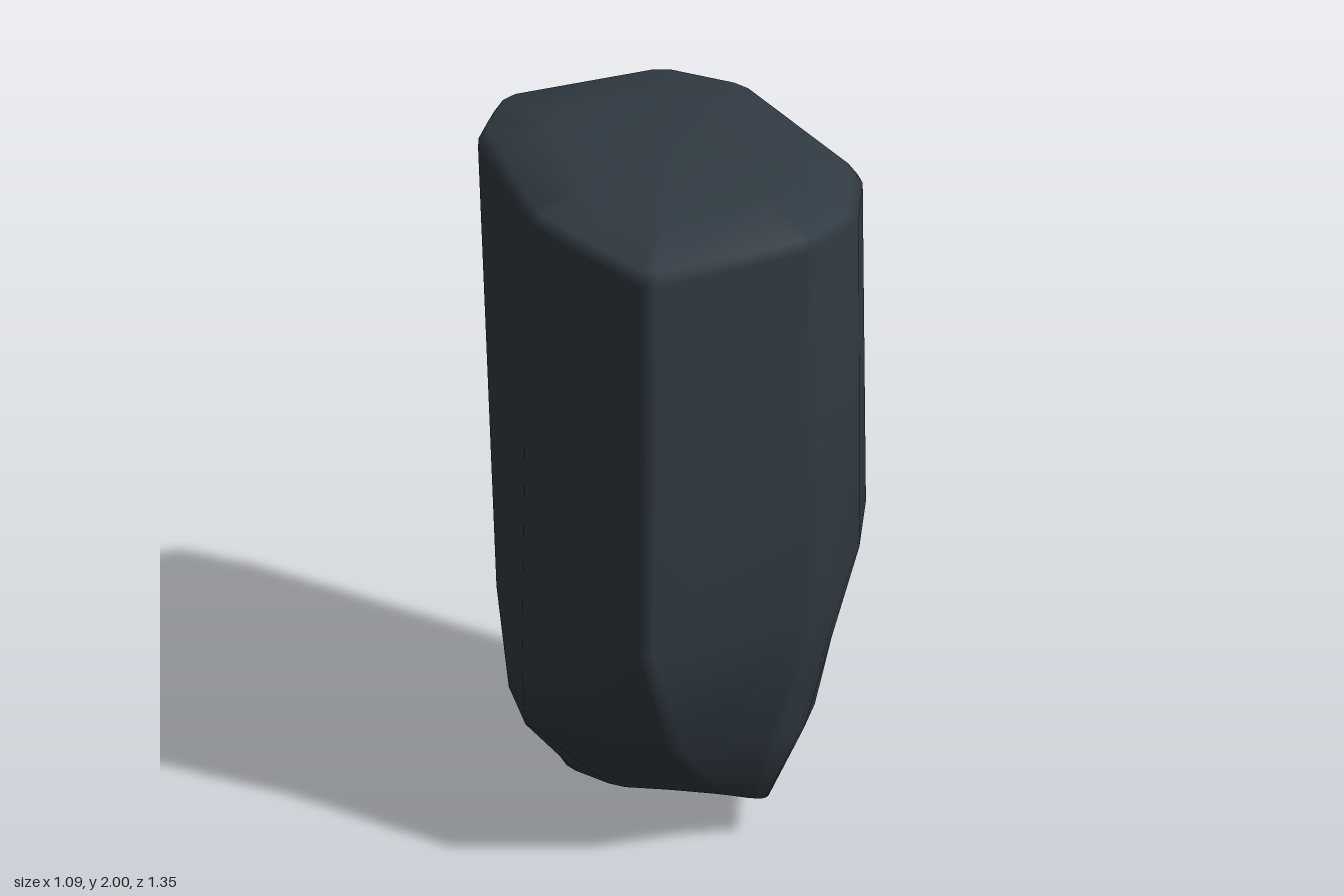
import * as THREE from 'three';

// Each corner of the stone, going round from the front towards +x:
// shoulder, middle break, low break and foot, each as x, y, z, then how far its waist dips inwards
const corners = [
  [[-0.06, 1.92, 0.69], [-0.07, 0.77, 0.68], [0.02, 0.38, 0.50], [0.15, 0.13, 0.25], 0.04],
  [[0.41, 1.93, 0.45], [0.41, 0.80, 0.44], [0.30, 0.36, 0.39], [0.25, 0.13, 0.28], 0],
  [[0.53, 1.93, 0.27], [0.53, 0.90, 0.27], [0.37, 0.30, 0.20], [0.28, 0.13, 0.26], 0],
  [[0.54, 1.92, -0.03], [0.55, 0.93, -0.03], [0.41, 0.29, -0.03], [0.27, 0.12, 0.21], 0],
  [[0.21, 1.92, -0.58], [0.22, 0.94, -0.56], [0.14, 0.27, -0.39], [-0.11, 0, -0.17], 0],
  [[-0.03, 1.92, -0.69], [-0.05, 0.95, -0.67], [-0.02, 0.24, -0.42], [-0.16, 0, -0.20], 0],
  [[-0.49, 1.91, -0.50], [-0.42, 0.95, -0.50], [-0.36, 0.30, -0.33], [-0.30, 0.03, -0.18], 0.01],
  [[-0.55, 1.89, -0.30], [-0.495, 0.55, -0.25], [-0.46, 0.28, -0.15], [-0.29, 0.03, -0.12], 0],
  [[-0.39, 1.92, 0.27], [-0.41, 0.50, 0.25], [-0.40, 0.30, 0.18], [-0.15, 0.03, 0], 0],
  [[-0.30, 1.92, 0.40], [-0.28, 0.55, 0.40], [-0.20, 0.35, 0.33], [0, 0.07, 0.10], 0],
];

const vec = (p) => new THREE.Vector3(...p);

// Cut each corner of a ring into two points for a soft bevel
function bevelRing(ring) {
  const n = ring.length;
  return ring.flatMap((p, i) =>
    [ring[(i + n - 1) % n], ring[(i + 1) % n]].map((q) => {
      const length = p.distanceTo(q);
      return p.clone().lerp(q, length > 0 ? Math.min(0.03, length * 0.25) / length : 0);
    }));
}

// Closed skin over rings running from top to bottom
function skin(rings, topCentre, bottomCentre) {
  const n = rings[0].length;
  const points = [...rings.flat(), topCentre, bottomCentre];
  const top = points.length - 2, bottom = top + 1, last = (rings.length - 1) * n;
  const index = [];
  for (let i = 0; i < n; i++) {
    const j = (i + 1) % n;
    index.push(top, i, j, bottom, last + j, last + i);
    for (let r = 0; r < last; r += n) {
      index.push(r + i, r + n + i, r + j, r + j, r + n + i, r + n + j);
    }
  }
  const geometry = new THREE.BufferGeometry().setFromPoints(points);
  geometry.setIndex(index);
  geometry.computeVertexNormals();
  return geometry;
}

export function createModel() {
  const slate = new THREE.MeshStandardMaterial({ color: 0x313b43 });
  slate.name = 'darkSlate';

  const [shoulder, middle, low, foot] = [0, 1, 2, 3].map((k) => bevelRing(corners.map((c) => vec(c[k]))));

  // Slightly hollow waist between shoulder and middle
  const waist = bevelRing(corners.map((c) => {
    const p = vec(c[0]).lerp(vec(c[1]), 0.46);
    const shrink = 1 - c[4] / Math.hypot(p.x, p.z);
    return new THREE.Vector3(p.x * shrink, p.y, p.z * shrink);
  }));

  // Rounded rim and gently domed top
  const inset = (scale, y) => shoulder.map((p) => new THREE.Vector3(p.x * scale, y, p.z * scale));
  const rings = [inset(0.62, 1.995), inset(0.95, 1.955), shoulder, waist, middle, low, foot];

  const stone = new THREE.Mesh(
    skin(rings, new THREE.Vector3(0, 2, 0), new THREE.Vector3(0.03, 0.06, 0.03)), slate);
  stone.name = 'stone';

  const model = new THREE.Group();
  model.name = 'rock';
  model.add(stone);
  return model;
}
